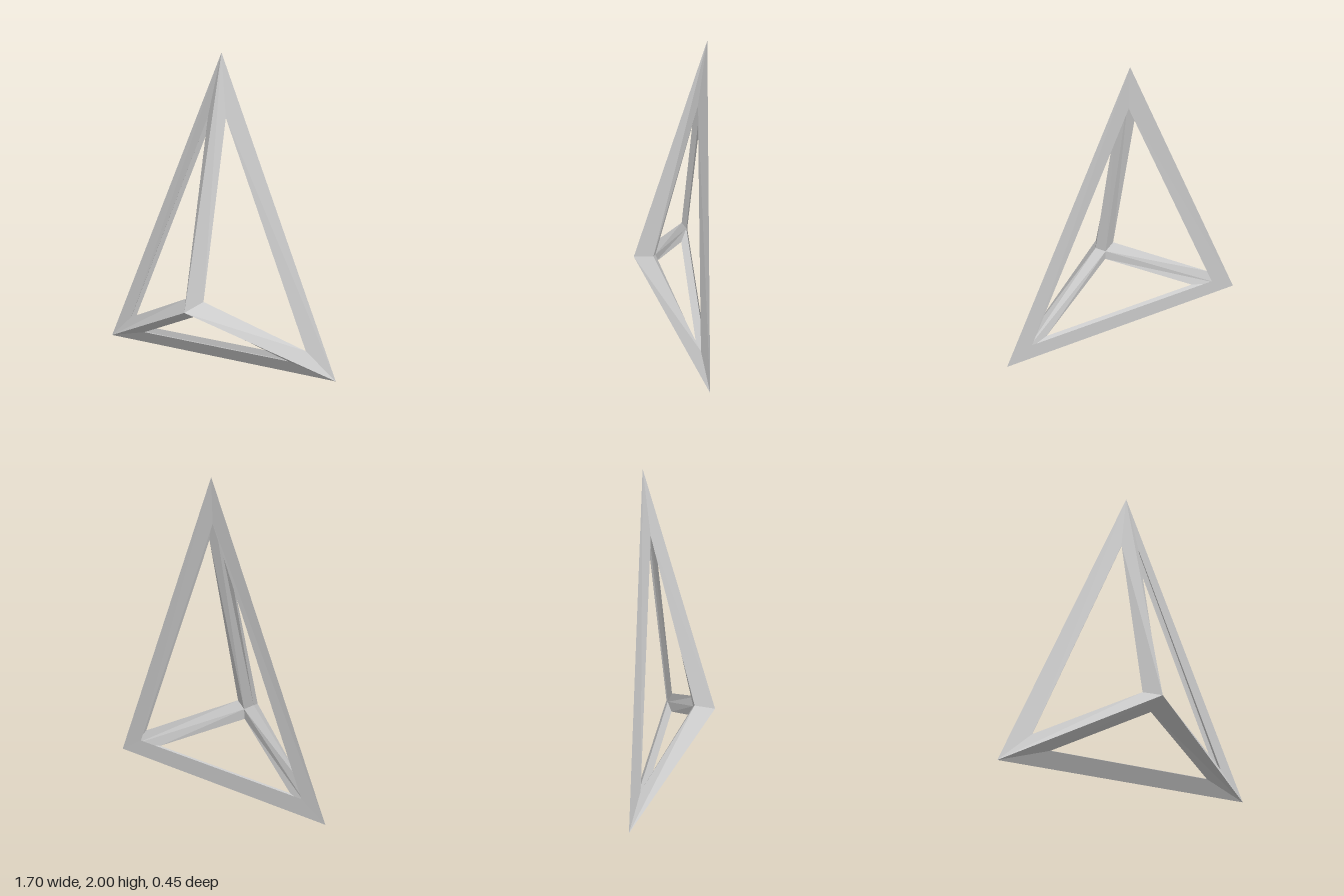
import * as THREE from 'three';

const V = (x, y, z) => new THREE.Vector3(x, y, z);
const BAR_WIDTH = 0.076;

// Corners of the pyramid, each with the inward shift to the middle of its bars
const corners = {
  apex: { p: V(0, 2, -0.225), d: V(0, -0.087, 0.007) },
  front: { p: V(0, 0.428, 0.227), d: V(0, 0.004, -0.071) },
  left: { p: V(0.85, 0.005, -0.19), d: V(-0.064, 0.037, 0) },
  right: { p: V(-0.85, 0.005, -0.19), d: V(0.064, 0.037, 0) },
};

// Triangular sides, counter-clockwise from outside
const sides = [
  ['apex', 'front', 'left'],
  ['apex', 'right', 'front'],
  ['apex', 'left', 'right'],
  ['front', 'right', 'left'],
];

// Corner of a side's opening: inset along the bisector, then shifted inward
function openingCorner(at, a, b) {
  const { p, d } = corners[at];
  const u = corners[a].p.clone().sub(p).normalize();
  const w = corners[b].p.clone().sub(p).normalize();
  const inset = BAR_WIDTH / Math.sin(u.angleTo(w) / 2);
  return u.add(w).normalize().multiplyScalar(inset).add(p).add(d);
}

const innerCorner = (name) => corners[name].p.clone().addScaledVector(corners[name].d, 2);

// Outer and inner face of the bar from i to j, on the side whose third corner is k
function halfBar(i, j, k) {
  const hi = openingCorner(i, j, k);
  const hj = openingCorner(j, i, k);
  const quads = [
    [corners[i].p, corners[j].p, hj, hi],
    [hi, hj, innerCorner(j), innerCorner(i)],
  ];
  return quads.flatMap(([a, b, c, d]) => [a, b, c, a, c, d]);
}

export function createModel() {
  const model = new THREE.Group();
  model.name = 'pyramidFrame';
  const material = new THREE.MeshStandardMaterial({ color: 0xcccccc, flatShading: true });

  // Each bar joins the halves from the two sides that share its edge
  const bars = new Map();
  for (const side of sides) {
    for (let n = 0; n < 3; n++) {
      const [i, j, k] = [side[n], side[(n + 1) % 3], side[(n + 2) % 3]];
      const key = [i, j].sort().join('To') + 'Bar';
      bars.set(key, [...(bars.get(key) ?? []), ...halfBar(i, j, k)]);
    }
  }

  for (const [name, points] of bars) {
    const geometry = new THREE.BufferGeometry().setFromPoints(points);
    geometry.computeVertexNormals();
    const bar = new THREE.Mesh(geometry, material);
    bar.name = name;
    model.add(bar);
  }
  return model;
}
